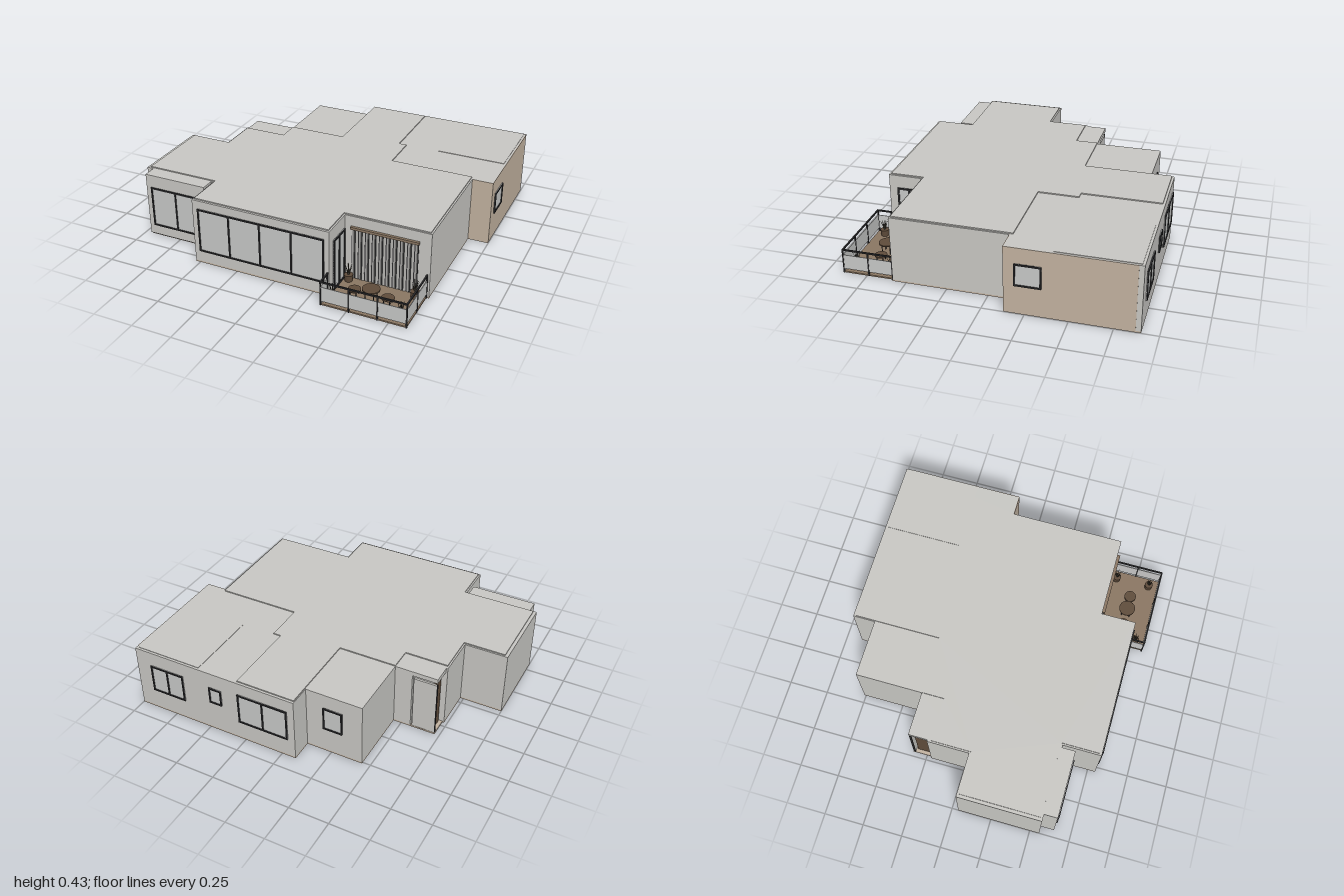
import * as THREE from 'three';

const mat = (name, color, side = THREE.FrontSide) => {
  const m = new THREE.MeshStandardMaterial({ color, side });
  m.name = name;
  return m;
};

export function createModel() {
  const house = new THREE.Group();
  house.name = 'house';
  const M = {
    wall: mat('light grey plaster', 0xc8c7c3),
    tan: mat('tan plaster', 0xc2b2a0),
    frame: mat('dark frame', 0x2b2b2d),
    glass: mat('pale glass', 0xc7c8c7),
    deck: mat('brown decking', 0x8a7662),
    wood: mat('dark wood', 0x5f4c3b),
    curtain: mat('curtain grey', 0xb2b1ae),
    leaf: mat('dark leaf', 0x454238, THREE.DoubleSide),
  };

  const add = (parent, name, geo, material, x = 0, y = 0, z = 0) => {
    const m = new THREE.Mesh(geo, material);
    m.name = name;
    m.position.set(x, y, z);
    parent.add(m);
    return m;
  };
  // Box given by its limits on each axis
  const box = (parent, name, material, x0, x1, y0, y1, z0, z1) =>
    add(parent, name, new THREE.BoxGeometry(x1 - x0, y1 - y0, z1 - z0), material,
      (x0 + x1) / 2, (y0 + y1) / 2, (z0 + z1) / 2);
  // Prism over a plan outline of [x, z] corners
  const slab = (name, material, plan, y0, y1) => {
    const shape = new THREE.Shape(plan.map(([x, z]) => new THREE.Vector2(x, -z)));
    const geo = new THREE.ExtrudeGeometry(shape, { depth: y1 - y0, bevelEnabled: false });
    geo.rotateX(-Math.PI / 2);
    return add(house, name, geo, material, 0, y0, 0);
  };

  // Outer plan, split where the bay and the porch differ between levels
  const backRight = [[-0.09, -0.9], [0.998, -0.9], [0.998, -0.132], [0.87, -0.132],
    [0.87, 0.583], [0.35, 0.583], [0.35, 0.798], [-0.53, 0.798], [-0.53, 0.56]];
  const bay = [[-0.545, 0.56], [-0.545, 0.643], [-0.957, 0.643], [-0.957, 0.56]];
  const left = [[-1, 0.56], [-1, 0.04], [-0.73, 0.04], [-0.73, -0.22]];
  const porch = [[-0.72, -0.22], [-0.72, -0.34]];
  const porchInset = [[-0.69, -0.22], [-0.69, -0.32], [-0.56, -0.32], [-0.56, -0.34]];
  const back = [[-0.45, -0.34], [-0.45, -0.76], [-0.09, -0.76]];

  slab('floor', M.tan, [...backRight, ...left, ...porch, ...back], 0, 0.01);
  slab('walls', M.wall, [...backRight, ...bay, ...left, ...porchInset, ...back], 0.01, 0.39);
  slab('roofEdge', M.wall, [...backRight, ...bay, ...left, ...porch, ...back], 0.39, 0.419);
  slab('mainRoof', M.wall, [[-0.085, -0.885], [0.29, -0.885], [0.29, -0.4], [0.34, -0.4],
    [0.34, -0.15], [0.86, -0.15], [0.86, 0.575], [0.34, 0.575], [0.34, 0.785], [-0.52, 0.785],
    [-0.52, 0.55], [-0.98, 0.55], [-0.98, 0.05], [-0.72, 0.05], [-0.72, -0.2],
    [-0.45, -0.2], [-0.45, -0.34], [-0.085, -0.34]], 0.419, 0.426);
  box(house, 'cornerRoof', M.wall, 0.555, 0.985, 0.419, 0.422, -0.885, -0.41);
  box(house, 'bayFloor', M.deck, -0.95, -0.552, 0.002, 0.01, 0.56, 0.636);

  // Tan facing on the right wing
  box(house, 'rightFacing', M.tan, 0.996, 1, 0.004, 0.419, -0.87, -0.13);
  box(house, 'returnFacing', M.tan, 0.87, 1, 0.004, 0.419, -0.134, -0.13);

  // Framed window, centred at (x, z), turned to face outward
  const windowUnit = (name, x, z, turn, width, y0, y1, panes, t = 0.009) => {
    const g = new THREE.Group();
    g.name = name;
    g.position.set(x, 0, z);
    g.rotation.y = turn;
    house.add(g);
    const w = width / 2;
    box(g, 'glass', M.glass, -w, w, y0, y1, -0.002, 0.003);
    for (const y of [y0, y1 - t]) box(g, 'rail', M.frame, -w, w, y, y + t, -0.002, 0.009);
    for (let i = 0; i <= panes; i++) {
      const u = -w + t / 2 + (i / panes) * (width - t);
      box(g, 'stile', M.frame, u - t / 2, u + t / 2, y0, y1, -0.002, 0.009);
    }
    return g;
  };
  const B = Math.PI, R = Math.PI / 2;
  windowUnit('bayWindow', -0.75, 0.643, 0, 0.345, 0.075, 0.338, 2);
  windowUnit('livingRoomWindow', -0.087, 0.798, 0, 0.815, 0.083, 0.367, 4);
  windowUnit('terraceDoor', 0.35, 0.67, R, 0.15, 0.01, 0.338, 2, 0.011);
  windowUnit('sideWindow', 1, -0.27, R, 0.155, 0.183, 0.322, 1);
  windowUnit('backWindow', 0.78, -0.9, B, 0.23, 0.14, 0.325, 2);
  windowUnit('backSmallWindow', 0.44, -0.9, B, 0.085, 0.205, 0.315, 1);
  windowUnit('backWideWindow', 0.12, -0.9, B, 0.33, 0.13, 0.338, 2);
  windowUnit('backRoomWindow', -0.262, -0.76, B, 0.125, 0.17, 0.325, 1);

  // Entrance porch with pale screen and wooden door
  box(house, 'porchScreen', M.wall, -0.715, -0.57, 0.01, 0.37, -0.338, -0.325);
  box(house, 'porchScreenEdge', M.frame, -0.719, -0.715, 0.01, 0.375, -0.338, -0.325);
  box(house, 'entranceDoor', M.wood, -0.697, -0.69, 0.01, 0.36, -0.315, -0.23);

  // Curtained terrace opening
  const curtain = new THREE.Group();
  curtain.name = 'curtain';
  house.add(curtain);
  box(curtain, 'opening', M.frame, 0.393, 0.797, 0.012, 0.345, 0.58, 0.586);
  const folds = 19;
  for (let i = 0; i < folds; i++) {
    const fold = box(curtain, 'fold', M.curtain, -0.0075, 0.0075, 0.014, 0.34, -0.002, 0.002);
    fold.position.x = 0.404 + (i * 0.382) / (folds - 1);
    fold.position.z = 0.59;
    fold.rotation.y = i % 2 ? 0.35 : -0.35;
  }
  box(curtain, 'curtainRail', M.deck, 0.388, 0.802, 0.34, 0.356, 0.583, 0.6);

  // Terrace deck and railing
  const terrace = new THREE.Group();
  terrace.name = 'terrace';
  house.add(terrace);
  box(terrace, 'deck', M.deck, 0.345, 0.856, 0, 0.009, 0.583, 0.896);
  const post = (x, z) => box(terrace, 'post', M.frame, x - 0.004, x + 0.004, 0, 0.155, z - 0.004, z + 0.004);
  for (let i = 0; i < 4; i++) post(0.342 + i * 0.171, 0.896);
  for (const z of [0.588, 0.738]) post(0.855, z);
  post(0.342, 0.806);
  box(terrace, 'frontRail', M.frame, 0.338, 0.859, 0.148, 0.157, 0.891, 0.9);
  box(terrace, 'rightRail', M.frame, 0.85, 0.859, 0.148, 0.157, 0.584, 0.9);
  box(terrace, 'leftRail', M.frame, 0.338, 0.347, 0.148, 0.157, 0.8, 0.9);
  box(terrace, 'frontPanel', M.glass, 0.346, 0.851, 0.027, 0.12, 0.894, 0.898);
  box(terrace, 'rightPanel', M.glass, 0.853, 0.857, 0.027, 0.12, 0.592, 0.892);
  box(terrace, 'leftPanel', M.glass, 0.34, 0.344, 0.027, 0.12, 0.81, 0.892);

  // Round table and stools
  const roundTop = (name, x, r, h) => {
    add(terrace, name + 'Top', new THREE.CylinderGeometry(r, r, 0.008, 24), M.wood, x, h, 0.735);
    for (let i = 0; i < 4; i++) {
      const a = Math.PI / 4 + (i * Math.PI) / 2;
      add(terrace, name + 'Leg', new THREE.CylinderGeometry(0.003, 0.003, h, 6), M.frame,
        x + Math.cos(a) * r * 0.7, h / 2, 0.735 + Math.sin(a) * r * 0.7);
    }
  };
  roundTop('table', 0.58, 0.052, 0.075);
  roundTop('stool', 0.478, 0.038, 0.045);
  roundTop('stool', 0.682, 0.038, 0.045);

  // Potted plants in the corners
  for (const x of [0.39, 0.798]) {
    for (const z of [0.618, 0.836]) {
      add(terrace, 'pot', new THREE.CylinderGeometry(0.027, 0.023, 0.042, 12), M.wood, x, 0.03, z);
      for (let i = 0; i < 7; i++) {
        const leaf = new THREE.ConeGeometry(0.005, 0.075, 3);
        leaf.translate(0, 0.0375, 0);
        leaf.rotateZ(i ? 0.33 : 0);
        leaf.rotateY((i * Math.PI) / 3);
        add(terrace, 'leaf', leaf, M.leaf, x, 0.048, z);
      }
    }
  }
  return house;
}
